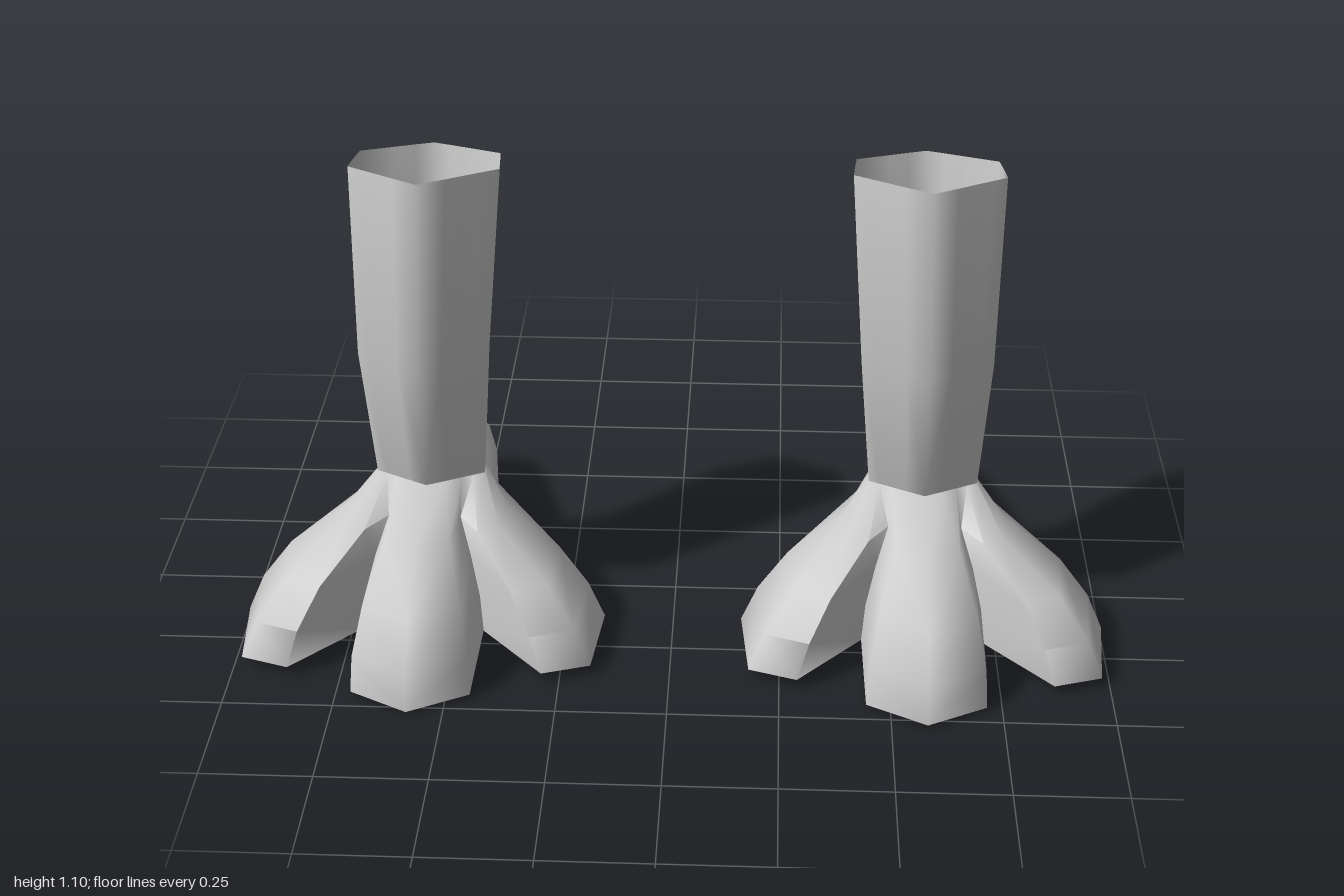
import * as THREE from 'three';
import { toCreasedNormals } from 'three/addons/utils/BufferGeometryUtils.js';

// Each kind of outline point: how it shrinks (x, z) and rises (y) over four layers
const KINDS = {
  front: { x: [1, 0.96, 0.82, 0.54], z: [1, 0.96, 0.82, 0.54], y: [0.01, 0.095, 0.185, 0.275] },
  valley: { x: [1, 0.95, 0.8, 0.6], z: [1, 0.93, 0.78, 0.55], y: [0.015, 0.1, 0.185, 0.26] },
  outer: { x: [1, 0.91, 0.75, 0.45], z: [1, 0.95, 0.8, 0.47], y: [0.025, 0.11, 0.19, 0.26] },
  joint: { x: [1, 0.98, 0.95, 0.88], z: [1, 1, 1.05, 1.15], y: [0.015, 0.1, 0.18, 0.25] },
  back: { x: [0.95, 1, 0.85, 0.45], z: [0.95, 1, 0.965, 0.88], y: [0, 0.09, 0.175, 0.23] },
};

// Half outline from front to back: kind, ground x/z, ankle x/z
const HALF = [
  ['front', 0, 0.55, 0, 0.085],
  ['front', 0.135, 0.48, 0.042, 0.057],
  ['valley', 0.14, 0.24, 0.075, 0.034],
  ['outer', 0.29, 0.415, 0.1, 0.017],
  ['outer', 0.4, 0.38, 0.125, 0],
  ['outer', 0.42, 0.18, 0.122, -0.04],
  ['joint', 0.15, -0.06, 0.118, -0.08],
  ['back', 0.1, -0.45, 0.06, -0.105],
  ['back', 0.04, -0.505, 0.03, -0.118],
  ['back', 0, -0.51, 0, -0.13],
];
const OUTLINE = [
  ...HALF,
  ...HALF.slice(1, -1).reverse().map(([k, x, z, ax, az]) => [k, -x, z, -ax, az]),
];
const N = OUTLINE.length;
const CENTRE_X = 0.58, CENTRE_Z = -0.02;

// Skin between rings of equal length; base adds a flat sole under the first ring
function loft(rings, side, base) {
  const pos = [], idx = [];
  const tri = (a, b, c) => (side > 0 ? idx.push(a, b, c) : idx.push(a, c, b));
  rings.flat().forEach(([x, y, z]) => pos.push(x * side, y, z));
  for (let j = 0; j < rings.length - 1; j++) {
    for (let i = 0; i < N; i++) {
      const a = j * N + i, b = j * N + (i + 1) % N, c = b + N, d = a + N;
      if (i < N / 2) { tri(a, b, c); tri(a, c, d); }
      else { tri(a, b, d); tri(b, c, d); }
    }
  }
  if (base) {
    const c = pos.length / 3;
    pos.push(base[0] * side, base[1], base[2]);
    for (let i = 0; i < N; i++) tri(c, (i + 1) % N, i);
  }
  const g = new THREE.BufferGeometry();
  g.setAttribute('position', new THREE.Float32BufferAttribute(pos, 3));
  g.setIndex(idx);
  return toCreasedNormals(g, THREE.MathUtils.degToRad(72));
}

// Hexagonal leg ring, stretched from the ankle ring and tilted up to the front
function legRing(cx, halfX, zFront, zBack, yFront, yBack) {
  return OUTLINE.map(([, , , ax, az]) => {
    const t = (az + 0.13) / 0.215;
    return [
      cx + (ax / 0.125) * halfX,
      THREE.MathUtils.lerp(yBack, yFront, t),
      THREE.MathUtils.lerp(zBack, zFront, t),
    ];
  });
}

export function createModel() {
  const model = new THREE.Group();
  model.name = 'birdLegs';
  const material = new THREE.MeshStandardMaterial({ color: 0xcccccc, side: THREE.DoubleSide });

  const ankle = legRing(CENTRE_X, 0.127, 0.065, -0.15, 0.315, 0.28);
  const knee = legRing(0.568, 0.148, 0.17, -0.085, 0.68, 0.645);
  const top = legRing(0.557, 0.168, 0.1, -0.195, 1.1, 1.07);

  // Star-shaped layers rise from the ground into the ankle
  const layers = [0, 1, 2, 3].map((k) => OUTLINE.map(([kind, x, z]) => {
    const s = KINDS[kind];
    return [CENTRE_X + x * s.x[k], s.y[k], CENTRE_Z + z * s.z[k]];
  }));

  for (const [name, side] of [['left', 1], ['right', -1]]) {
    const limb = new THREE.Group();
    limb.name = name + 'Limb';
    // Four-toed foot
    const foot = new THREE.Mesh(loft([...layers, ankle], side, [CENTRE_X, 0.015, CENTRE_Z]), material);
    foot.name = name + 'Foot';
    // Bent, open-topped leg
    const leg = new THREE.Mesh(loft([ankle, knee, top], side), material);
    leg.name = name + 'Leg';
    limb.add(foot, leg);
    model.add(limb);
  }
  return model;
}
